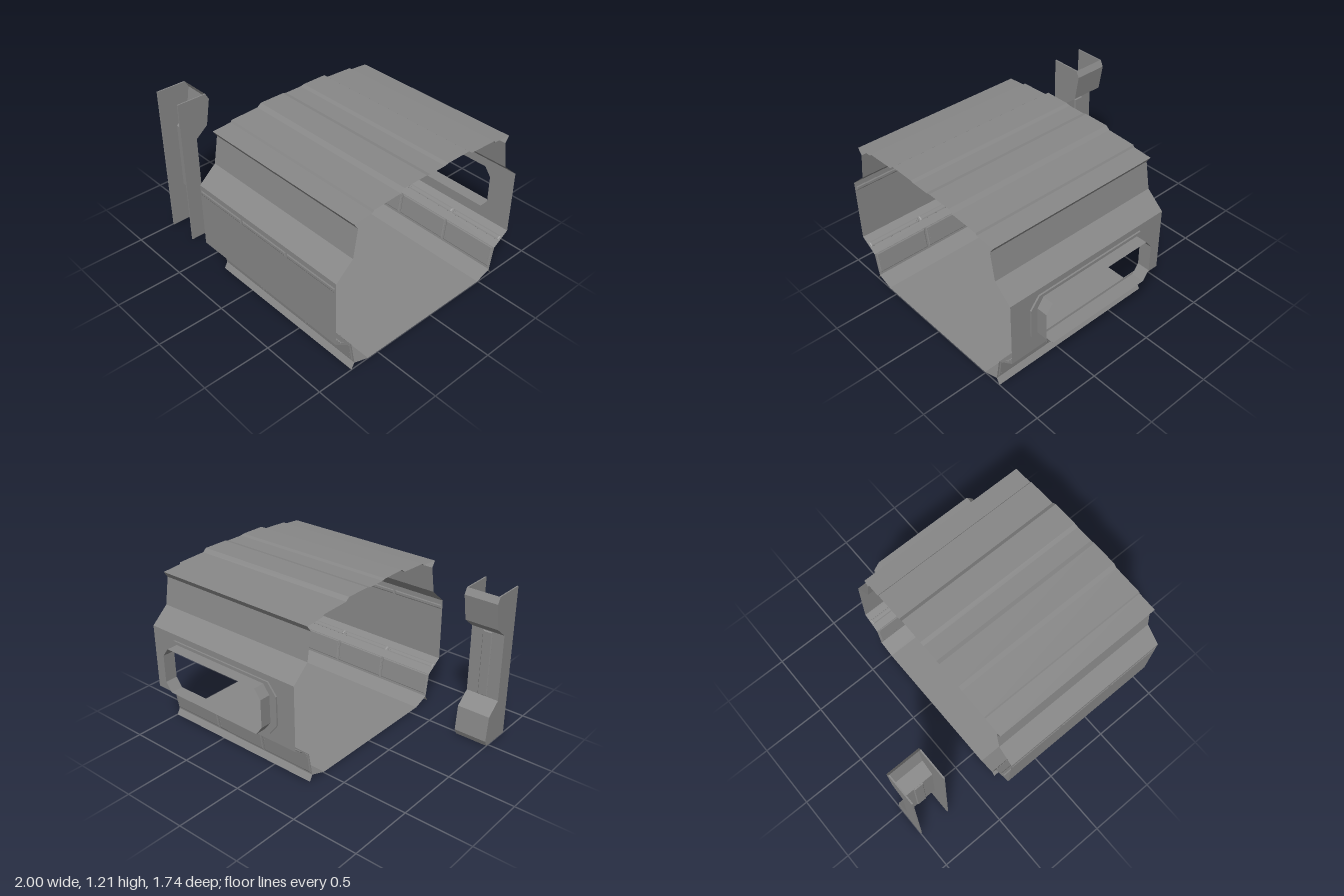
import * as THREE from 'three';

const mat = new THREE.MeshStandardMaterial({ color: 0x878787, flatShading: true, side: THREE.DoubleSide });
const X0 = -0.32, X1 = 1, ZC = 0.045; // corridor ends and centre line

function add(parent, name, geometry) {
  const mesh = new THREE.Mesh(geometry, mat);
  mesh.name = name;
  parent.add(mesh);
  return mesh;
}

// Sheet that follows [z, y] points and spans xa..xb
function sheet(points, xa, xb) {
  const pos = [];
  for (let i = 0; i < points.length - 1; i++) {
    const [za, ya] = points[i], [zb, yb] = points[i + 1];
    pos.push(xa, ya, za, xb, ya, za, xb, yb, zb, xa, ya, za, xb, yb, zb, xa, yb, zb);
  }
  const g = new THREE.BufferGeometry();
  g.setAttribute('position', new THREE.Float32BufferAttribute(pos, 3));
  g.computeVertexNormals();
  return g;
}

// Rectangle with chamfered corners
function octagon(xa, xb, ya, yb, cx, cy) {
  return [[xa + cx, ya], [xb - cx, ya], [xb, ya + cy], [xb, yb - cy],
    [xb - cx, yb], [xa + cx, yb], [xa, yb - cy], [xa, ya + cy]].map(p => new THREE.Vector2(...p));
}

// Thin plate centred on the origin, with sloped borders on both faces
function bevelPlate(width, height, border, thickness) {
  const w = width / 2 - border, h = height / 2 - border;
  const shape = new THREE.Shape([[-w, -h], [w, -h], [w, h], [-w, h]].map(p => new THREE.Vector2(...p)));
  return new THREE.ExtrudeGeometry(shape, {
    depth: 0.001, bevelSize: border, bevelThickness: thickness / 2, bevelSegments: 1,
  }).translate(0, 0, -0.0005);
}

// Row of three plates with rivets, lying on the line between two [z, y] points
function plateRow(parent, name, a, b, rivets) {
  const dz = b[0] - a[0], dy = b[1] - a[1];
  const row = new THREE.Group();
  row.name = name;
  row.position.set(0, (a[1] + b[1]) / 2, (a[0] + b[0]) / 2);
  row.rotation.x = Math.atan2(dz, dy);
  const height = Math.hypot(dz, dy);
  for (let i = 0; i < 3; i++) {
    const x = -0.1 + i * 0.438;
    add(row, 'plate', bevelPlate(0.425, height, 0.008, 0.008)).position.x = x;
    for (const side of [-1, 1]) for (let k = 0; k < rivets; k++) {
      const rivet = add(row, 'rivet', new THREE.BoxGeometry(0.005, 0.005, 0.012));
      rivet.position.set(x + side * 0.195, height * ((k + 0.5) / rivets - 0.5) * 0.9, 0);
    }
  }
  parent.add(row);
}

function createCorridor() {
  const g = new THREE.Group();
  g.name = 'corridor';
  const at = (s, pts) => pts.map(([h, y]) => [ZC + s * h, y]);
  const upper = [[0.82, 0.795], [0.69, 0.91], [0.655, 1.11], [0.685, 1.155]];
  const lower = [[0.82, 0.31], [0.69, 0.225], [0.66, 0.045], [0.685, 0]];
  const roof = [[0.685, 1.155], [0.54, 1.165], [0.532, 1.179], [0.315, 1.188],
    [0.285, 1.212], [0.095, 1.212], [0.065, 1.205]];

  // Side walls, stepped roof and floor
  for (const [s, side] of [[1, 'front'], [-1, 'back']]) {
    add(g, side + 'UpperWall', sheet(at(s, upper), X0, X1));
    add(g, side + 'LowerWall', sheet(at(s, lower), X0, X1));
    plateRow(g, side + 'LowerPanels', ...at(s, [[0.664, 0.06], [0.688, 0.223]]), 4);
    plateRow(g, side + 'LedgePlates', ...at(s, [[0.738, 0.262], [0.769, 0.282]]), 1);
  }
  add(g, 'roof', sheet([...at(1, roof), ...at(-1, roof).reverse()], X0, X1));
  const floor = [[0.66, 0.045], [0.54, 0.002]];
  add(g, 'floor', sheet([...at(1, floor), ...at(-1, floor).reverse()], X0, X1));
  add(g, 'frontWall', sheet([[0.865, 0.31], [0.865, 0.795]], X0, X1));
  plateRow(g, 'frontWallPlates', [0.865, 0.723], [0.865, 0.757], 1);

  // Back wall with a chamfered window
  const opening = octagon(-0.12, 0.8, 0.39, 0.73, 0.05, 0.067);
  const wall = new THREE.Shape([[X0, 0.31], [X1, 0.31], [X1, 0.795], [X0, 0.795]].map(p => new THREE.Vector2(...p)));
  wall.holes.push(new THREE.Path(opening));
  add(g, 'backWall', new THREE.ShapeGeometry(wall)).position.z = -0.775;

  // Window flange and projecting sleeve
  const flange = new THREE.Shape(octagon(-0.175, 0.85, 0.365, 0.752, 0.07, 0.085));
  flange.holes.push(new THREE.Path(opening));
  add(g, 'windowFlange', new THREE.ExtrudeGeometry(flange, { depth: 0.012, bevelEnabled: false })).position.z = -0.788;
  const loop = [...opening, opening[0]].map(p => [p.x, p.y]);
  const sleeve = add(g, 'windowSleeve', sheet(loop, -0.87, -0.775));
  sleeve.geometry.rotateY(-Math.PI / 2); // (x, y, z) -> (-z, y, x)
  sleeve.geometry.scale(-1, 1, 1);
  return g;
}

function createPillar() {
  const g = new THREE.Group();
  g.name = 'pillar';
  const inner = [[0.48, 0], [0.458, 0.045], [0.48, 0.235], [0.585, 0.322], [0.585, 0.835],
    [0.49, 0.912], [0.455, 1.11], [0.48, 1.157]];
  // Channel web
  add(g, 'pillarWeb', sheet(inner, -1, -0.745));
  // Side plates, with the profile drawn in (-z, y) and turned to face x
  const profile = new THREE.Shape([[0.71, 0], ...inner, [0.71, 1.157]].map(([z, y]) => new THREE.Vector2(-z, y)));
  for (const x of [-1, -0.755]) {
    const plate = new THREE.ExtrudeGeometry(profile, { depth: 0.01, bevelEnabled: false });
    plate.rotateY(Math.PI / 2);
    add(g, 'pillarSide', plate).position.x = x;
  }
  // Raised rib on the recessed middle
  add(g, 'pillarRib', bevelPlate(0.076, 0.505, 0.006, 0.014)).position.set(-0.872, 0.578, 0.585);
  return g;
}

export function createModel() {
  const model = new THREE.Group();
  model.name = 'corridorSection';
  model.add(createCorridor(), createPillar());
  return model;
}
